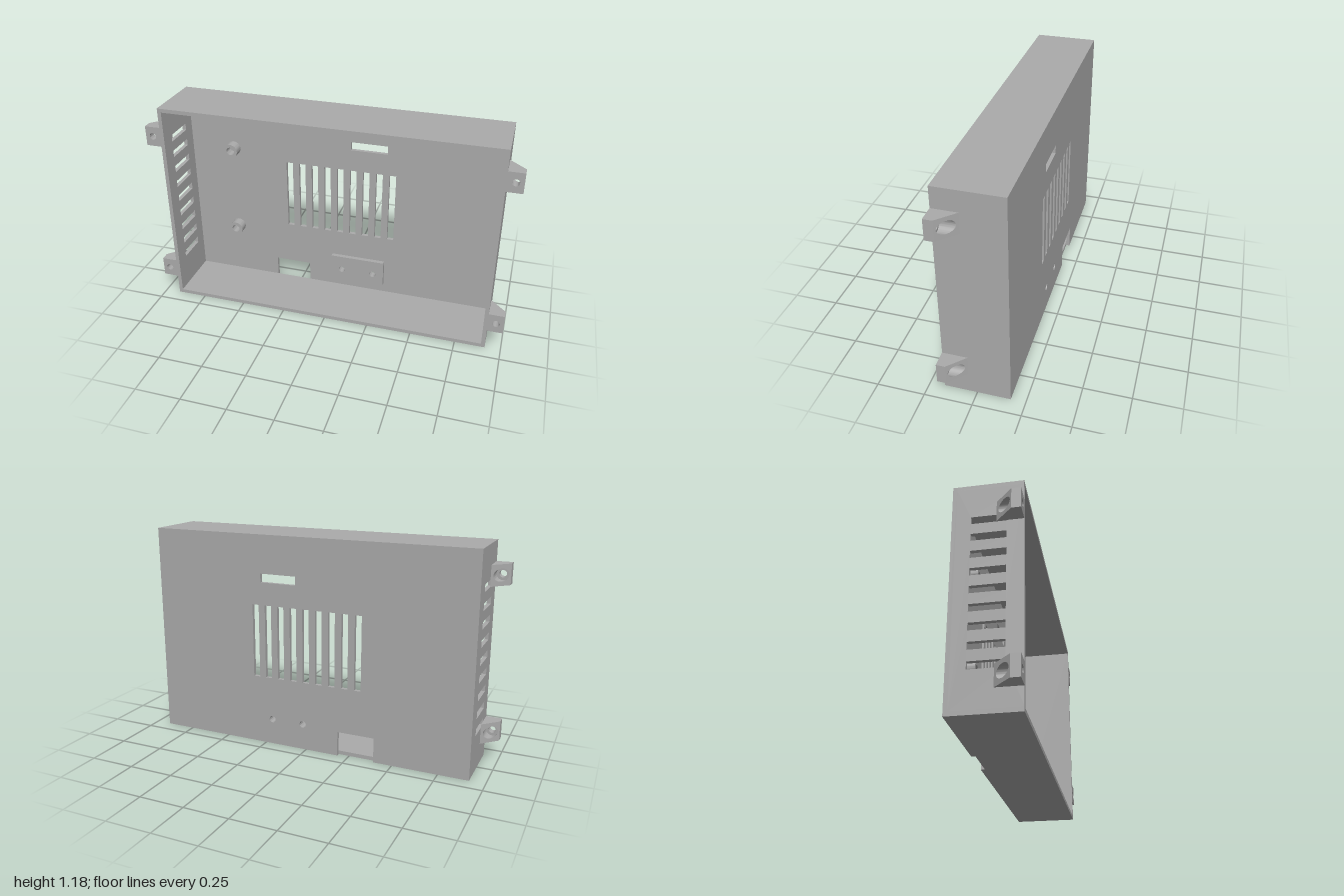
import * as THREE from 'three';
import { toCreasedNormals } from 'three/addons/utils/BufferGeometryUtils.js';

const W = 0.915, H = 1.183, Z = 0.173, T = 0.021; // half width, height, half depth, wall

const grey = new THREE.MeshStandardMaterial({ color: 0xaaaaaa });
grey.name = 'grey plastic';

const poly = (pts, Type = THREE.Shape) => new Type(pts.map(([x, y]) => new THREE.Vector2(x, y)));
const rect = (x0, y0, x1, y1, Type) => poly([[x0, y0], [x1, y0], [x1, y1], [x0, y1]], Type);
const rectHole = (x0, y0, x1, y1) => rect(x0, y0, x1, y1, THREE.Path);
const circle = (x, y, r, Type = THREE.Path) => new Type().absarc(x, y, r, 0, Math.PI * 2);

// Extrudes an outline with holes from z0 to z1
function slab(shape, holes, z0, z1) {
  shape.holes.push(...holes);
  const g = new THREE.ExtrudeGeometry(shape, { depth: z1 - z0, bevelEnabled: false, curveSegments: 20 });
  g.translate(0, 0, z0);
  return g;
}

export function createModel() {
  const model = new THREE.Group();
  model.name = 'enclosure';
  const add = (name, geometry, parent = model) => {
    const mesh = new THREE.Mesh(toCreasedNormals(geometry, 0.6), grey);
    mesh.name = name;
    parent.add(mesh);
  };
  const wall = (name, x0, x1, y0, y1) => {
    const g = new THREE.BoxGeometry(x1 - x0, y1 - y0, 2 * Z - T);
    g.translate((x0 + x1) / 2, (y0 + y1) / 2, T / 2);
    add(name, g);
  };

  // Back panel: connector notch, vent slots, narrow slot and screw holes
  const screwHoles = () => [0.02, 0.208].map((x) => circle(x, 0.146, 0.019));
  const panelHoles = [rectHole(0.06, 0.925, 0.267, 0.973), ...screwHoles()];
  for (let i = 0; i < 9; i++) {
    const x = (i - 4) * 0.075;
    panelHoles.push(rectHole(x - 0.019, 0.39, x + 0.019, 0.8));
  }
  const panel = poly([[-W, 0], [-0.397, 0], [-0.397, 0.138], [-0.188, 0.138],
    [-0.188, 0], [W, 0], [W, H], [-W, H]]);
  add('backPanel', slab(panel, panelHoles, -Z, -Z + T));

  // Plain walls
  wall('bottomWall', -W, W, 0, T);
  wall('topWall', -W, W, H - T, H);
  wall('leftWall', W - T, W, T, H - T);

  // Vented wall, drawn in z and y, then turned to face sideways
  const vents = [];
  for (let i = 0; i < 9; i++) {
    const y = 0.603 + (i - 4) * 0.094;
    vents.push(rectHole(-0.08, y - 0.019, 0.09, y + 0.019));
  }
  const vented = slab(rect(-Z + T, T, Z, H - T), vents, 0, T);
  vented.rotateY(-Math.PI / 2);
  vented.translate(-W + T, 0, 0);
  add('ventedRightWall', vented);

  // Inner mounting pad and hollow posts
  add('mountingPad', slab(rect(-0.045, 0.078, 0.272, 0.233), screwHoles(), -Z + T, -Z + T + 0.024));
  for (const y of [0.338, 0.85]) {
    add('screwPost', slab(circle(-0.638, y, 0.04, THREE.Shape),
      [circle(-0.638, y, 0.023)], -Z + T, -Z + T + 0.054));
  }

  // Corner ears: flat front with a screw hole, sloped back with a counterbore
  const floor = 0.13;
  for (const s of [-1, 1]) {
    for (const y of [0.171, 1.017]) {
      const ear = new THREE.Group();
      ear.name = 'mountingEar';
      model.add(ear);
      const outline = () => rect(s * W, y - 0.055, s, y + 0.055);
      add('earFront', slab(outline(), [circle(s * 0.959, y, 0.019)], floor, Z), ear);
      const back = slab(outline(), [circle(s * 0.959, y, 0.033)], 0, floor);
      const p = back.attributes.position;
      for (let i = 0; i < p.count; i++) {
        if (p.getZ(i) < 0.01) p.setZ(i, 0.127 - (1 - Math.abs(p.getX(i))));
      }
      add('earSlope', back, ear);
    }
  }
  return model;
}
